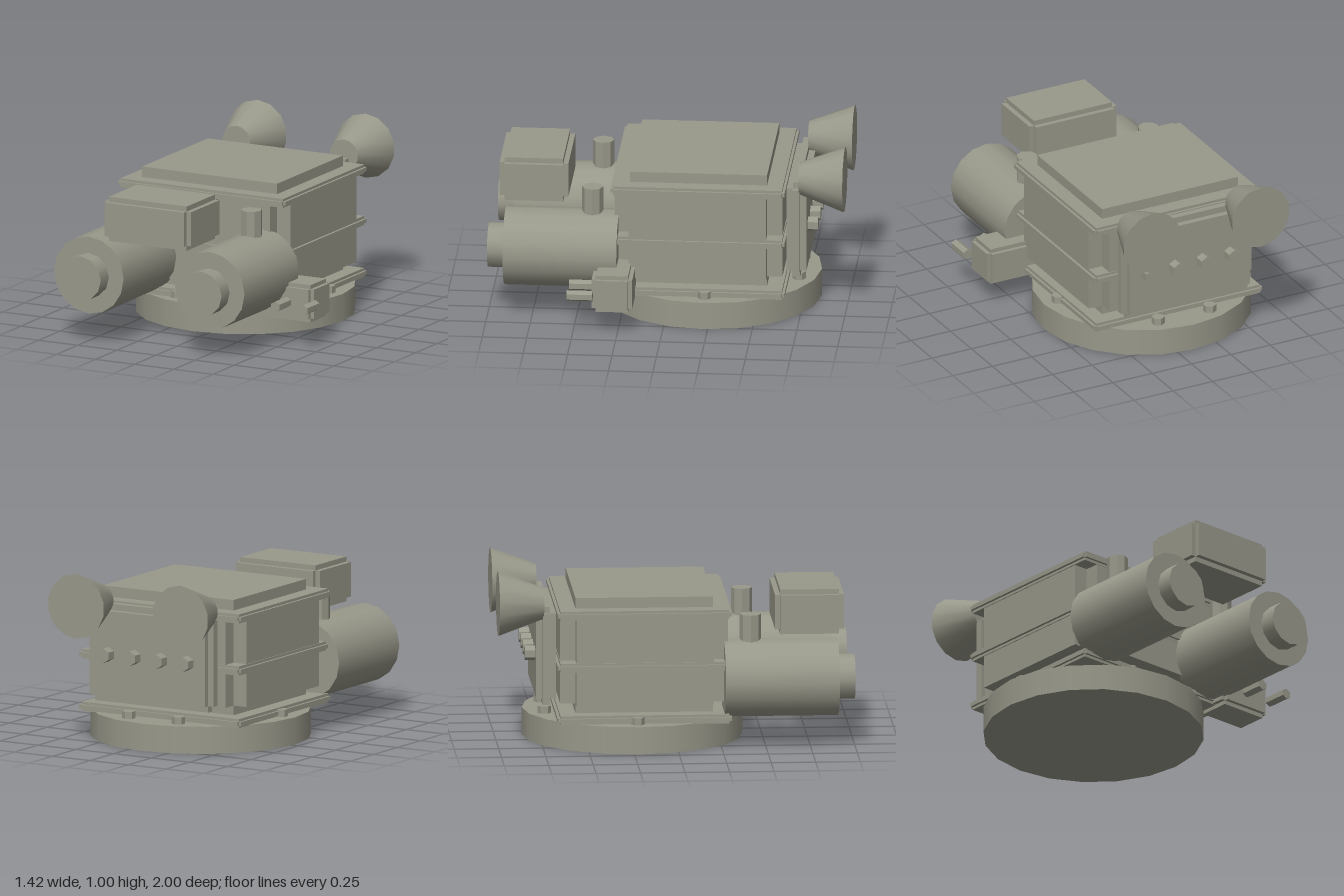
import * as THREE from 'three';

const CX = -0.095; // centre line of the machine body
const CZ = -0.225; // centre of the round base

export function createModel() {
  const model = new THREE.Group();
  const smooth = new THREE.MeshStandardMaterial({ color: 0x98988a });
  const faceted = new THREE.MeshStandardMaterial({ color: 0x98988a, flatShading: true });

  const add = (name, geo, x, y, z, mat) => {
    const mesh = new THREE.Mesh(geo, mat);
    mesh.name = name;
    mesh.position.set(x, y, z);
    model.add(mesh);
  };
  // Box with its edges notched by b: three crossed boxes, each full size on one axis
  const notchedBox = (name, x0, x1, y0, y1, z0, z1, b) => {
    for (let axis = 0; axis < 3; axis++) {
      const size = [x1 - x0, y1 - y0, z1 - z0].map((s, i) => (i === axis ? s : s - 2 * b));
      add(name, new THREE.BoxGeometry(...size),
        (x0 + x1) / 2, (y0 + y1) / 2, (z0 + z1) / 2, smooth);
    }
  };
  // Upright cylinder from y0 to y1; few-sided ones are faceted
  const post = (name, r, y0, y1, x, z, sides) =>
    add(name, new THREE.CylinderGeometry(r, r, y1 - y0, sides), x, (y0 + y1) / 2, z,
      sides < 10 ? faceted : smooth);
  // Cylinder or cone along z, from z0 (back) to z1 (front)
  const barrel = (name, rBack, rFront, z0, z1, x, y, sides) => {
    const geo = new THREE.CylinderGeometry(rFront, rBack, z1 - z0, sides);
    geo.rotateX(Math.PI / 2);
    add(name, geo, x, y, (z0 + z1) / 2, sides < 10 ? faceted : smooth);
  };

  // Round base with a ring of bolts
  post('base', 0.62, 0, 0.155, CX, CZ, 20);
  for (let i = 0; i < 10; i++) {
    const a = (i / 10) * Math.PI * 2;
    post('baseBolt', 0.038, 0.15, 0.195, CX + 0.53 * Math.cos(a), CZ + 0.53 * Math.sin(a), 6);
  }

  // Housing with deep edge notches, its top forming the roof slab
  notchedBox('housing', -0.61, 0.425, 0.172, 0.86, -0.656, 0.288, 0.086);

  // Three flanges around the housing
  for (const y of [0.177, 0.477, 0.774]) {
    notchedBox('flange', -0.63, 0.44, y - 0.026, y + 0.026, -0.675, 0.305, 0.015);
  }

  // Rear plate and its row of bolts
  notchedBox('rearPlate', -0.505, 0.315, 0.24, 0.8, -0.787, -0.675, 0.036);
  for (let i = 0; i < 4; i++) {
    barrel('rearBolt', 0.042, 0.042, -0.845, -0.78, CX + (i - 1.5) * 0.175, 0.518, 6);
  }

  // Mirrored pairs: front drums with their caps and stub pipes, rear horns
  for (const s of [-1, 1]) {
    const x = CX + s * 0.386;
    barrel('drum', 0.222, 0.222, 0.265, 0.905, x, 0.387, 16);
    barrel('drumCap', 0.128, 0.128, 0.89, 1, x, 0.387, 12);
    post('stubPipe', 0.06, 0.5, 0.75, x, 0.415, 8);
    barrel('horn', 0.185, 0.09, -1, -0.745, CX + s * 0.344, 0.816, 14);
  }

  // Box resting between the drums
  notchedBox('frontBox', -0.373, 0.182, 0.603, 0.858, 0.563, 0.95, 0.029);

  // Side box with two pins
  notchedBox('sideBox', 0.34, 0.667, 0.13, 0.345, 0.165, 0.393, 0.023);
  for (const x of [0.505, 0.683]) {
    barrel('sidePin', 0.031, 0.031, 0.385, 0.53, x, 0.237, 6);
  }

  return model;
}
